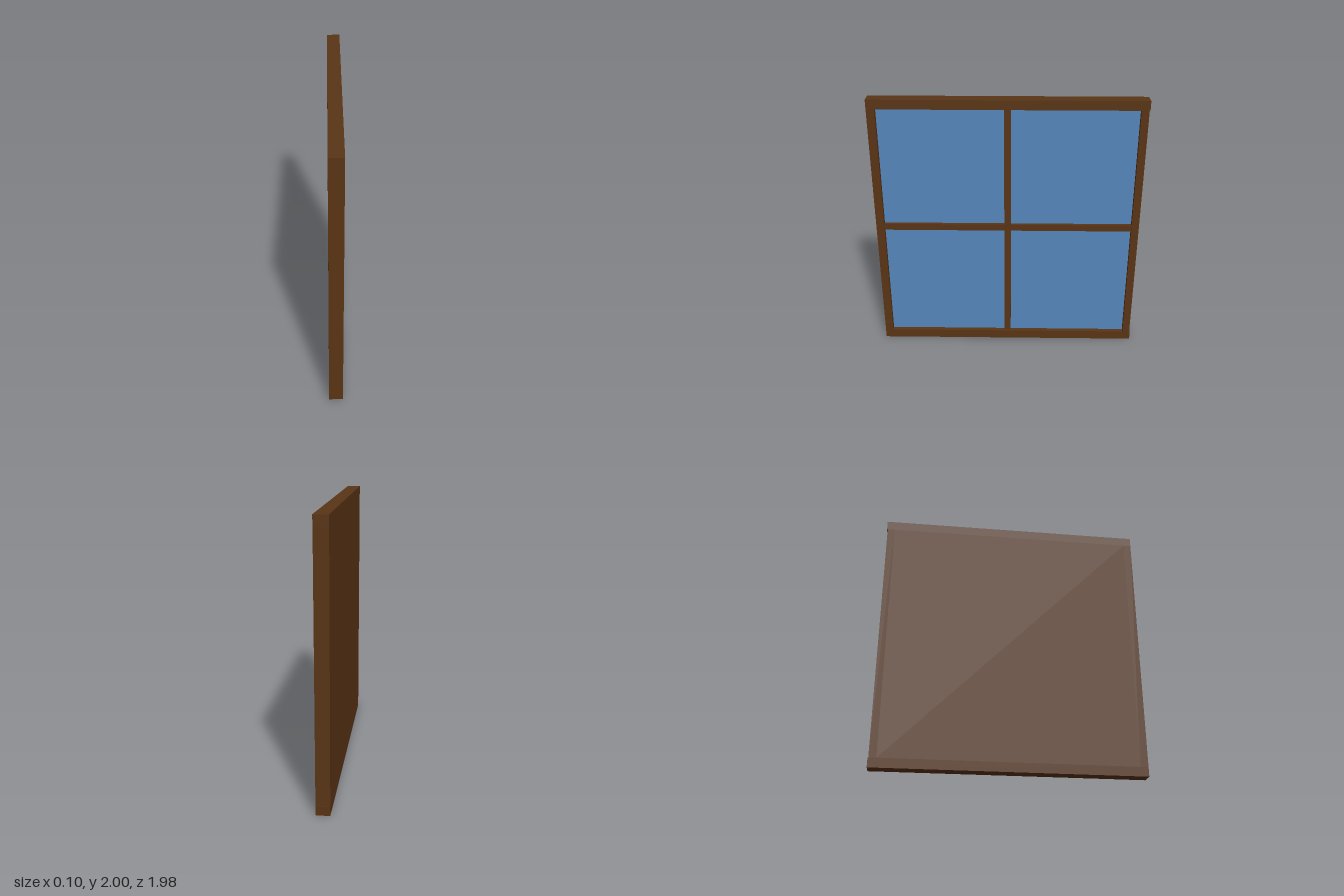
import * as THREE from 'three';

export function createModel() {
  const model = new THREE.Group();
  model.name = 'window';

  const wood = new THREE.MeshStandardMaterial({ color: 0x5a3515 });
  const glass = new THREE.MeshStandardMaterial({ color: 0x5588bb });

  // Box spanning the given ranges
  function block(name, material, [x0, x1], [y0, y1], [z0, z1]) {
    const mesh = new THREE.Mesh(new THREE.BoxGeometry(x1 - x0, y1 - y0, z1 - z0), material);
    mesh.position.set((x0 + x1) / 2, (y0 + y1) / 2, (z0 + z1) / 2);
    mesh.name = name;
    model.add(mesh);
  }

  const backX = -0.05, panelX = 0.01, glassX = 0.015, barX = 0.04, frontX = 0.05;
  const half = 0.99, inner = 0.93, low = 0.07, high = 1.93;

  // Outer frame, full depth; the rails run across the ends of the stiles
  block('bottomRail', wood, [backX, frontX], [0, low], [-half, half]);
  block('topRail', wood, [backX, frontX], [high, 2], [-half, half]);
  block('frontStile', wood, [backX, frontX], [low, high], [inner, half]);
  block('backStile', wood, [backX, frontX], [low, high], [-half + 0.005, -inner]);

  // Solid backing board inside the frame
  block('backPanel', wood, [backX, panelX], [low, high], [-inner, inner]);

  // Crossing glazing bars, set slightly back from the frame face
  block('verticalBar', wood, [panelX, barX], [low, high], [-0.025, 0.025]);
  for (const [z0, z1] of [[-inner, -0.025], [0.025, inner]]) {
    block('horizontalBar', wood, [panelX, barX], [0.98, 1.03], [z0, z1]);
    // Panes above and below the bar
    block('lowerPane', glass, [panelX, glassX], [low, 0.98], [z0, z1]);
    block('upperPane', glass, [panelX, glassX], [1.03, high], [z0, z1]);
  }

  return model;
}
